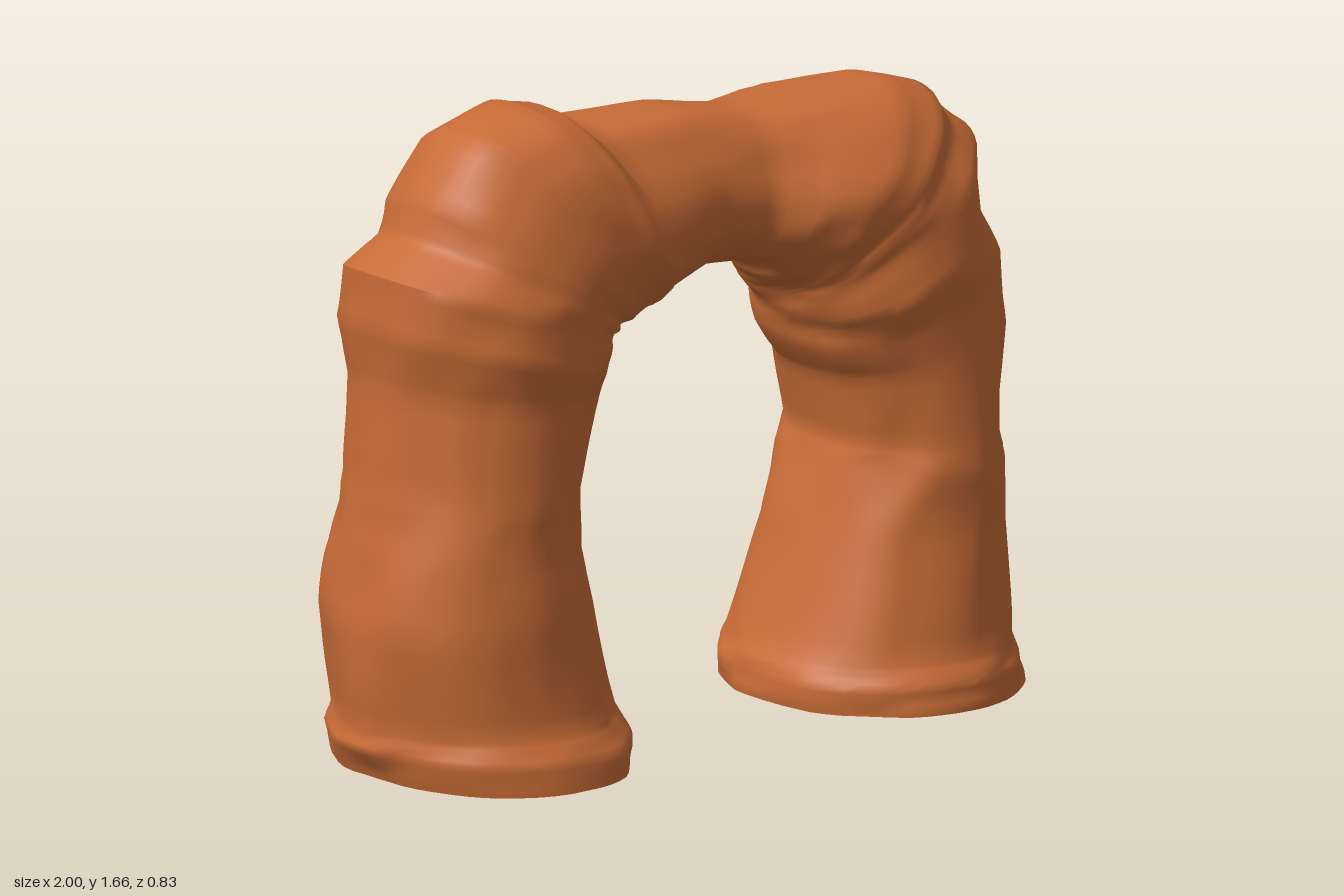
import * as THREE from 'three';
import { toCreasedNormals } from 'three/addons/utils/BufferGeometryUtils.js';

// Cross-sections along the arch: outer x, outer y, inner x, inner y, front z, back z
const leftLeg = [
  [-0.95, 0, -0.27, 0, 0.41, -0.40],
  [-0.98, 0.08, -0.26, 0.07, 0.40, -0.41],
  [-0.97, 0.13, -0.29, 0.13, 0.36, -0.37],
  [-1.0, 0.40, -0.355, 0.37, 0.34, -0.34],
  [-0.97, 0.60, -0.40, 0.55, 0.32, -0.33],
  [-0.94, 0.75, -0.385, 0.70, 0.31, -0.30],
  [-0.93, 1.00, -0.31, 0.91, 0.29, -0.31],
  [-0.96, 1.15, -0.30, 0.98, 0.32, -0.33],
  [-0.95, 1.29, -0.27, 1.03, 0.31, -0.32],
];
const leftShoulder = [
  [-0.83, 1.36, -0.26, 1.05, 0.30, -0.31],
  [-0.80, 1.45, -0.25, 1.06, 0.29, -0.30],
  [-0.68, 1.60, -0.22, 1.07, 0.28, -0.29],
  [-0.50, 1.655, -0.18, 1.09, 0.28, -0.28],
  [-0.42, 1.64, -0.15, 1.10, 0.28, -0.28],
];
const beam = [
  [-0.33, 1.57, -0.12, 1.13, 0.27, -0.27],
  [0, 1.56, 0.02, 1.165, 0.20, -0.24],
  [0.22, 1.53, 0.14, 1.15, 0.20, -0.24],
  [0.42, 1.54, 0.20, 1.14, 0.26, -0.28],
];
const rightShoulder = [
  [0.65, 1.545, 0.24, 1.10, 0.29, -0.29],
  [0.77, 1.51, 0.27, 1.07, 0.29, -0.29],
  [0.81, 1.45, 0.29, 1.05, 0.29, -0.29],
];
const rightLeg = [
  [0.89, 1.40, 0.31, 1.02, 0.30, -0.29],
  [0.90, 1.20, 0.34, 0.97, 0.32, -0.32],
  [0.97, 1.08, 0.37, 0.91, 0.30, -0.33],
  [0.975, 0.90, 0.43, 0.82, 0.30, -0.31],
  [0.94, 0.65, 0.47, 0.65, 0.31, -0.31],
  [0.96, 0.59, 0.45, 0.57, 0.32, -0.33],
  [0.965, 0.42, 0.40, 0.40, 0.33, -0.33],
  [0.985, 0.12, 0.31, 0.12, 0.37, -0.38],
  [0.99, 0.07, 0.285, 0.07, 0.41, -0.41],
  [1.0, 0, 0.28, 0, 0.41, -0.40],
];
const SIDES = 52;
const STEPS = 5;

// Grooves and lobes: section, angle (0 outer, PI/2 front, PI inner), lengths, height
const FEATURES = [
  [26, -0.36, 3.0, 0.10, -0.06], // crack down the outside of the right leg
  [27, -0.75, 0.9, 0.28, 0.05], // buttress beside the crack
  [24.5, 0.75, 3.5, 0.12, -0.05], // flute at the right leg's front corner
  [3, 0.55, 0.9, 0.35, 0.04], // slab on the left leg
  [3, -0.95, 0.8, 0.35, 0.04], // block behind the left leg
  [4, 2.25, 3.0, 0.12, -0.05], // flute beside the opening
];

// Adds a region's outer roundness, inner roundness and front slope to its sections
const shaped = (rows, ...shape) => rows.map((row) => [...row, ...shape]);

// Repeatable value per block of rock
function hash(i, j) {
  const n = Math.sin(i * 127.1 + j * 311.7) * 43758.5453;
  return n - Math.floor(n);
}

// Blocky weathering: plateaus joined by short steps
function blocks(t, s, around, along) {
  const a = (t / (Math.PI * 2)) * around;
  const b = s * along;
  const [i, j] = [Math.floor(a), Math.floor(b)];
  const fa = THREE.MathUtils.smoothstep(a - i, 0.2, 0.8);
  const fb = THREE.MathUtils.smoothstep(b - j, 0.2, 0.8);
  const next = (i + 1) % around;
  return THREE.MathUtils.lerp(
    THREE.MathUtils.lerp(hash(i, j), hash(next, j), fa),
    THREE.MathUtils.lerp(hash(i, j + 1), hash(next, j + 1), fa),
    fb,
  ) - 0.5;
}

function erosion(t, s) {
  let e = 1.0 + 0.06 * blocks(t, s, 13, 0.55) + 0.035 * blocks(t, s, 19, 1.2);
  for (const [fs, ft, ds, dt, height] of FEATURES) {
    const turn = Math.atan2(Math.sin(t - ft), Math.cos(t - ft));
    e += height * Math.exp(-(((s - fs) / ds) ** 4) - (turn / dt) ** 2);
  }
  return e;
}

const signedPower = (v, p) => Math.sign(v) * Math.abs(v) ** p;

function loftRock(sections) {
  const rings = (sections.length - 1) * STEPS + 1;
  const positions = [];
  const indices = [];
  for (let i = 0; i < rings; i++) {
    const s = i / STEPS;
    const k = Math.min(Math.floor(s), sections.length - 2);
    const [ox, oy, ix, iy, zf, zb, outer, inner, slope] = sections[k].map((v, n) =>
      THREE.MathUtils.lerp(v, sections[k + 1][n], s - k));
    for (let j = 0; j < SIDES; j++) {
      const t = (j / SIDES) * Math.PI * 2;
      const e = erosion(t, s);
      const power = Math.cos(t) > 0 ? outer : inner;
      const u = signedPower(Math.cos(t), power) * e;
      const v = signedPower(Math.sin(t), power) * e;
      const front = zf * (1 - slope * Math.max(0, u));
      positions.push(
        (ox + ix) / 2 + (u * (ox - ix)) / 2,
        Math.max(0, (oy + iy) / 2 + (u * (oy - iy)) / 2),
        v > 0 ? v * front : -v * zb,
      );
    }
  }
  for (let i = 0; i < rings - 1; i++) {
    for (let j = 0; j < SIDES; j++) {
      const a = i * SIDES + j;
      const b = i * SIDES + ((j + 1) % SIDES);
      indices.push(a, b, b + SIDES, a, b + SIDES, a + SIDES);
    }
  }
  const geometry = new THREE.BufferGeometry();
  geometry.setAttribute('position', new THREE.Float32BufferAttribute(positions, 3));
  geometry.setIndex(indices);
  return toCreasedNormals(geometry, 0.8);
}

export function createModel() {
  const model = new THREE.Group();
  model.name = 'rockArch';
  const sandstone = new THREE.MeshStandardMaterial({ color: 0xc76b36, side: THREE.DoubleSide });
  sandstone.name = 'sandstone';

  // One continuous shell, open under both feet; the beam's front leans back
  const sections = [
    ...shaped(leftLeg, 1.0, 0.97, 0),
    ...shaped(leftShoulder, 0.88, 0.9, 0.12),
    ...shaped(beam, 0.7, 0.85, 0.4),
    ...shaped(rightShoulder, 0.95, 0.9, 0.15),
    ...shaped(rightLeg, 1.12, 0.87, 0),
  ];
  const arch = new THREE.Mesh(loftRock(sections), sandstone);
  arch.name = 'archShell';
  model.add(arch);
  return model;
}
